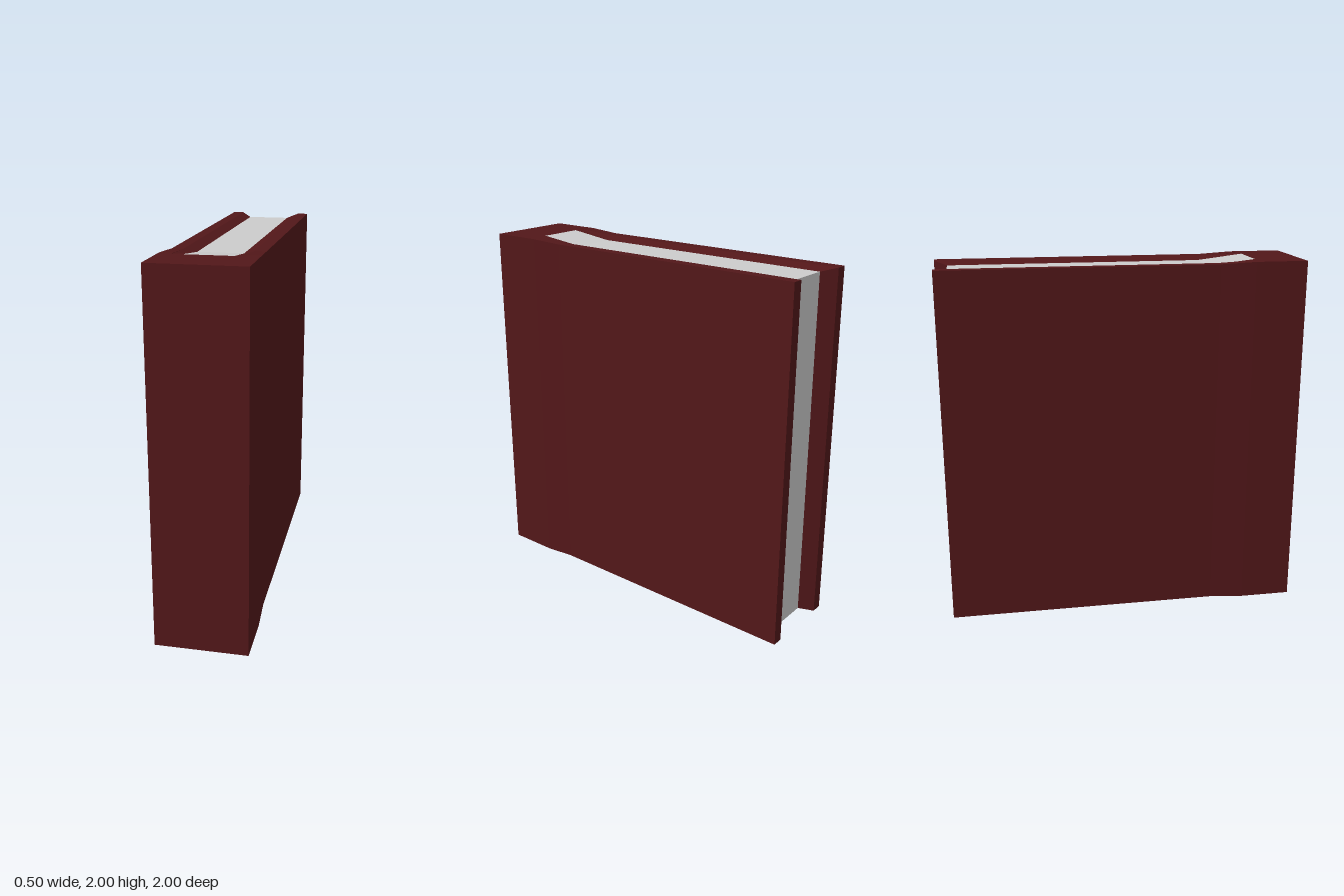
import * as THREE from 'three';

const leather = new THREE.MeshStandardMaterial({ color: 0x521719, flatShading: true });
const paper = new THREE.MeshStandardMaterial({ color: 0xcccccc, flatShading: true });
const MID = 1; // half the height of the book

// Lofts a solid through stations [a, b]; each end is [x, z, halfHeight], with a on the -x side.
function loft(name, stations, material) {
  const rings = stations.map(([a, b]) =>
    [[a, -1], [b, -1], [b, 1], [a, 1]].map(([[x, z, h], s]) => [x, MID + s * h, z]));
  const out = [];
  const quad = (a, b, c, d) => out.push(...a, ...b, ...c, ...a, ...c, ...d);
  for (let s = 0; s < rings.length - 1; s++) {
    const r = rings[s], n = rings[s + 1];
    for (let i = 0; i < 4; i++) {
      const j = (i + 1) % 4;
      quad(r[i], r[j], n[j], n[i]);
    }
  }
  quad(...rings[0].slice().reverse());
  quad(...rings[rings.length - 1]);
  const g = new THREE.BufferGeometry();
  g.setAttribute('position', new THREE.Float32BufferAttribute(out, 3));
  g.computeVertexNormals();
  const mesh = new THREE.Mesh(g, material);
  mesh.name = name;
  return mesh;
}

const mirror = (stations) =>
  stations.map(([a, b]) => [b, a].map(([x, z, h]) => [-x, z, h]));

export function createModel() {
  const book = new THREE.Group();
  book.name = 'book';

  // Cover board, flaring slightly where it meets the spine
  const board = [
    [[0.18, -1, 0.99], [0.24, -1, 0.99]],
    [[0.18, 0.52, 0.99], [0.24, 0.52, 0.99]],
    [[0.18, 0.71, 1], [0.25, 0.71, 1]],
    [[0.18, 0.74, 1], [0.25, 0.74, 1]],
  ];
  // Bevel from the board's edge down to the pages
  const bevel = [
    [[0.12, -0.93, 0.97], [0.18, -1, 0.99]],
    [[0.12, 0.48, 0.97], [0.18, 0.52, 0.99]],
    [[0.126, 0.74, 1], [0.18, 0.74, 1]],
  ];
  book.add(
    loft('leftCover', board, leather),
    loft('leftCoverBevel', bevel, leather),
    loft('rightCover', mirror(board), leather),
    loft('rightCoverBevel', mirror(bevel), leather),
  );

  // Page block, rising to meet the spine
  book.add(loft('pages', [[0.12, -0.93, 0.97], [0.12, 0.48, 0.97], [0.126, 0.74, 1]]
    .map(([x, z, h]) => [[-x, z, h], [x, z, h]]), paper));

  // Spine
  book.add(loft('spine', [0.74, 1].map((z) => [[-0.25, z, 1], [0.25, z, 1]]), leather));

  return book;
}
